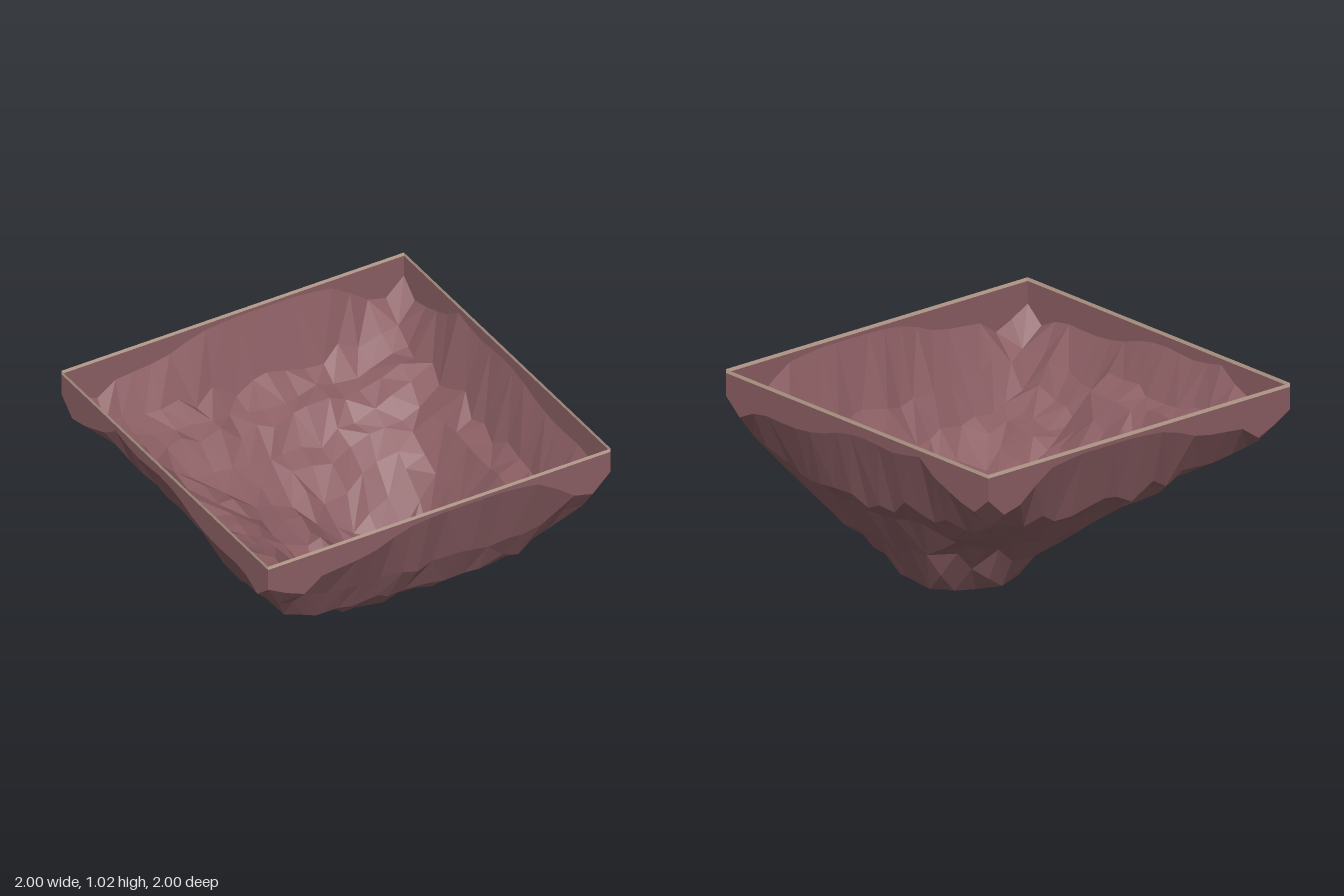
import * as THREE from 'three';

const N = 19; // cells per side
const TOP = 1.0;
const { smoothstep } = THREE.MathUtils;

// Valley profiles [position, height] across x and along z
const PROFILE_X = [[-1, 0.78], [-0.95, 0.76], [-0.88, 0.62], [-0.84, 0.6], [-0.79, 0.47], [-0.67, 0.4],
  [-0.57, 0.39], [-0.36, 0.25], [-0.15, 0.02], [-0.03, 0.01], [0.06, 0.09], [0.15, 0.02], [0.3, 0],
  [0.55, 0.01], [0.6, 0.08], [0.78, 0.45], [0.9, 0.54], [0.95, 0.7], [1, 0.78]];
const PROFILE_Z = [[-1, 0.78], [-0.95, 0.76], [-0.87, 0.56], [-0.7, 0.52], [-0.58, 0.37], [-0.42, 0.3],
  [-0.25, 0.03], [-0.17, 0.01], [0.05, 0], [0.15, 0.04], [0.25, 0.01], [0.36, 0.06], [0.47, 0.2],
  [0.55, 0.24], [0.7, 0.32], [0.8, 0.42], [0.85, 0.57], [0.9, 0.6], [1, 0.78]];
// Lower edge of the outer walls
const EDGE_X = [[-1, 0.88], [-0.8, 0.77], [-0.7, 0.85], [-0.4, 0.88], [-0.2, 0.96], [0, 0.98], [0.4, 0.98],
  [0.6, 0.95], [0.8, 0.8], [0.9, 0.78], [1, 0.88]];
const EDGE_Z = [[-1, 0.88], [-0.88, 0.78], [-0.75, 0.83], [-0.6, 0.88], [-0.47, 0.97], [-0.3, 0.93], [0, 0.95],
  [0.2, 0.91], [0.3, 0.87], [0.5, 0.85], [0.75, 0.86], [0.9, 0.79], [1, 0.88]];

function sample(points, t) {
  for (let i = 1; i < points.length; i++) {
    const [a, ya] = points[i - 1], [b, yb] = points[i];
    if (t <= b) return ya + (yb - ya) * Math.max(0, (t - a) / (b - a));
  }
  return points[points.length - 1][1];
}

// Repeatable noise in the range -1..1
function noise(i, j, k) {
  const s = Math.sin(i * 127.1 + j * 311.7 + k * 74.7) * 43758.5453;
  return (s - Math.floor(s)) * 2 - 1;
}

// Stepped bowl whose floor is two lobes set on a diagonal
function bowlHeight(x, z) {
  // the rear right shelves end further forward near the outer wall
  const shelfEnd = 0.32 - 0.27 * smoothstep(x, -0.5, -0.3);
  const rear = 1 - smoothstep(z, shelfEnd - 0.06, shelfEnd + 0.06);
  const rearRightShelf = 0.13 * rear * smoothstep(x, -0.97, -0.75) * (1 - smoothstep(x, -0.25, 0));
  const rearLeftShelf = 0.15 * smoothstep(x, 0.25, 0.6) * smoothstep(z, -0.75, -0.45) * (1 - smoothstep(z, -0.1, 0.1));
  const a = sample(PROFILE_X, x - rearRightShelf), b = sample(PROFILE_Z, z - rearLeftShelf);
  const bowl = Math.min(Math.max(a, b) + 0.15 * Math.min(a, b), Math.max(a, b, 0.68));
  // raised floor on either side of the lobes
  const rearRightFloor = 0.23 * rear * (1 - smoothstep(x, -0.05, 0.17));
  const frontLeftFloor = 0.16 * smoothstep(z, 0.08, 0.28) * smoothstep(x, 0, 0.2);
  return Math.max(bowl, rearRightFloor, frontLeftFloor);
}

function gridPoint(i, j) {
  let x = -1 + 2 * i / N, z = -1 + 2 * j / N;
  const onX = i === 0 || i === N, onZ = j === 0 || j === N;
  if (onX) return [x, sample(EDGE_Z, z), z];
  if (onZ) return [x, sample(EDGE_X, x), z];
  x += 0.022 * noise(i, j, 1);
  z += 0.022 * noise(i, j, 2);
  const h = bowlHeight(x, z);
  return [x, Math.max(0, h + 0.02 * noise(i, j, 3) * Math.min(1, h * 5)), z];
}

function meshFromTriangles(name, positions, index, color) {
  const geometry = new THREE.BufferGeometry();
  geometry.setAttribute('position', new THREE.Float32BufferAttribute(positions, 3));
  geometry.setIndex(index);
  geometry.computeVertexNormals();
  const material = new THREE.MeshStandardMaterial({ color, flatShading: true, side: THREE.DoubleSide });
  const mesh = new THREE.Mesh(geometry, material);
  mesh.name = name;
  return mesh;
}

// Closed strip between two loops of points
function band(name, lower, upper, color) {
  const n = lower.length, index = [];
  for (let i = 0; i < n; i++) {
    const k = (i + 1) % n;
    index.push(i, k, n + k, i, n + k, n + i);
  }
  return meshFromTriangles(name, [...lower, ...upper].flat(), index, color);
}

export function createModel() {
  const group = new THREE.Group();
  group.name = 'rockBasin';
  const rock = 0x8c5f64;

  // Craggy underside
  const positions = [], index = [];
  for (let j = 0; j <= N; j++) for (let i = 0; i <= N; i++) positions.push(...gridPoint(i, j));
  for (let j = 0; j < N; j++) {
    for (let i = 0; i < N; i++) {
      const a = j * (N + 1) + i, b = a + 1, c = a + N + 1, d = c + 1;
      if (noise(i, j, 4) > 0) index.push(a, c, b, b, c, d);
      else index.push(a, d, b, a, c, d);
    }
  }
  group.add(meshFromTriangles('cragBottom', positions, index, rock));

  // Perimeter, counter-clockwise seen from above
  const loop = [];
  for (let i = 0; i < N; i++) loop.push(gridPoint(i, N));
  for (let j = N; j > 0; j--) loop.push(gridPoint(N, j));
  for (let i = N; i > 0; i--) loop.push(gridPoint(i, 0));
  for (let j = 0; j < N; j++) loop.push(gridPoint(0, j));

  // Upright side walls and the pale strip along their top
  const atHeight = (y) => loop.map(([x, , z]) => [x, y, z]);
  group.add(band('sideWalls', loop, atHeight(TOP), rock));
  group.add(band('rimStrip', atHeight(TOP), atHeight(TOP + 0.02), 0xcdb09e));
  return group;
}
